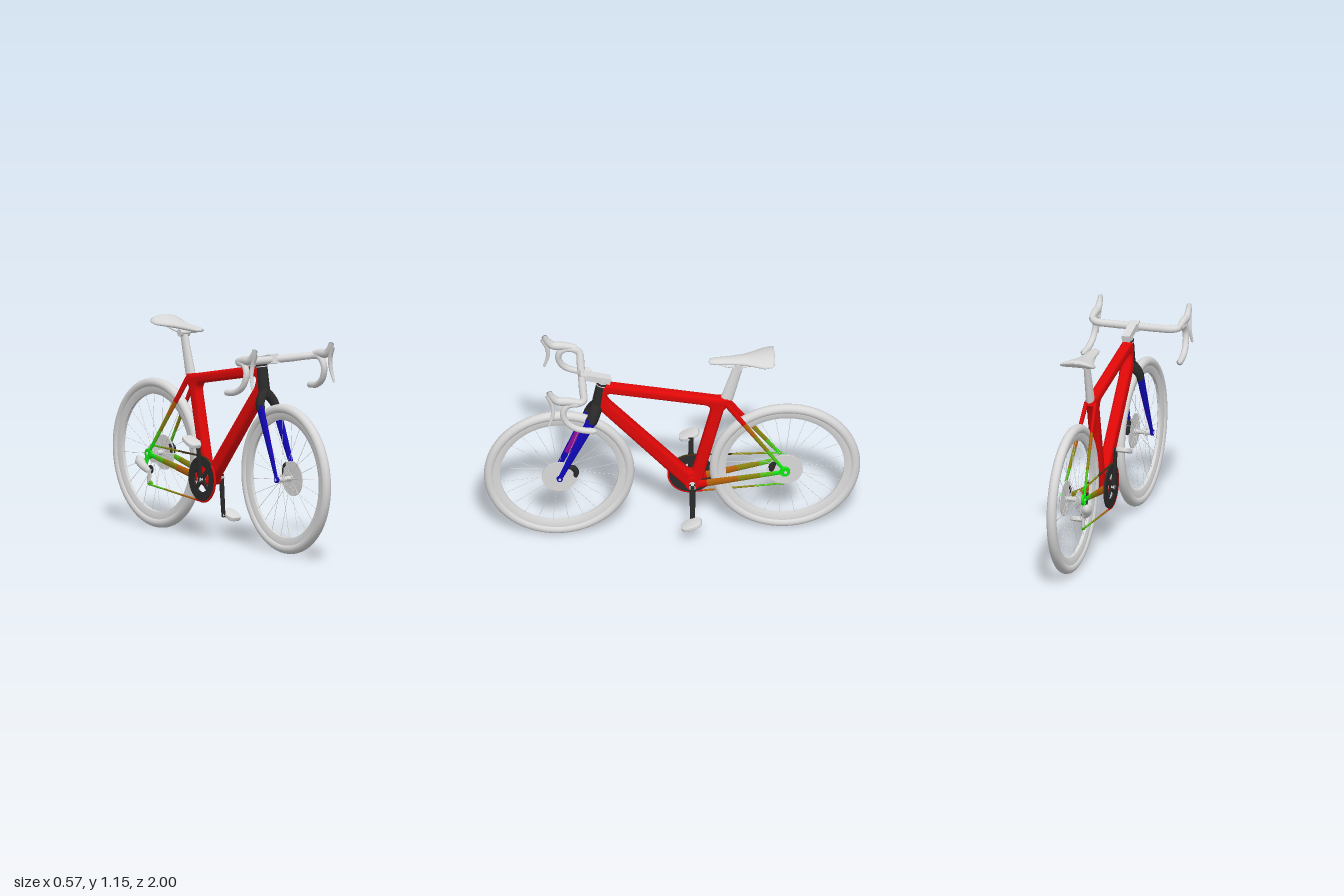
import * as THREE from 'three';
import { mergeGeometries, toCreasedNormals } from 'three/addons/utils/BufferGeometryUtils.js';

const mat = (name, color) => Object.assign(new THREE.MeshStandardMaterial({ color }), { name });
const V = (x, y, z) => new THREE.Vector3(x, y, z);
const UP = V(0, 1, 0);

export function createModel() {
  const grey = mat('light grey', 0xd8d8d8), black = mat('black', 0x2a2a2a), red = mat('red', 0xe00808);
  const blue = mat('blue', 0x1008b8), purple = mat('purple', 0x8c0c98), orange = mat('orange', 0xb4620a);
  const olive = mat('olive', 0x8a8410), leaf = mat('leaf green', 0x52c018), lime = mat('lime', 0x12f012);
  const brown = mat('dark brown', 0x40301a);
  const bike = new THREE.Group();
  bike.name = 'bicycle';

  const add = (name, geo, m, parent = bike) => {
    const mesh = new THREE.Mesh(geo, m);
    mesh.name = name;
    parent.add(mesh);
    return mesh;
  };
  // tapered straight bar from a to b, narrowed across x by sx
  const barGeo = (a, b, ra, rb, sx = 1, n = 16) => {
    const d = b.clone().sub(a);
    const g = new THREE.CylinderGeometry(rb, ra, d.length(), n);
    g.scale(sx, 1, 1);
    g.applyQuaternion(new THREE.Quaternion().setFromUnitVectors(UP, d.normalize()));
    return g.translate(...a.clone().lerp(b, 0.5).toArray());
  };
  const bar = (name, a, b, ra, rb, m, sx) => add(name, barGeo(a, b, ra, rb, sx), m);
  // bar split into coloured lengths: [end fraction, material]
  const bandedBar = (name, a, b, ra, rb, sx, bands) => {
    let t = 0;
    for (const [e, m] of bands) {
      bar(name, a.clone().lerp(b, t), a.clone().lerp(b, e), ra + (rb - ra) * t, ra + (rb - ra) * e, m, sx);
      t = e;
    }
  };
  // disc or axle lying along x
  const disc = (name, x, y, z, r, w, m, parent) =>
    add(name, new THREE.CylinderGeometry(r, r, w, 40).rotateZ(-Math.PI / 2).translate(x, y, z), m, parent);
  // curved tube with varying radius and closed ends
  const tube = (name, pts, radii, m, sx = 1) => {
    const curve = new THREE.CatmullRomCurve3(pts), n = 32, k = 12;
    const g = new THREE.TubeGeometry(curve, n, 1, k), p = g.attributes.position;
    for (let i = 0; i <= n; i++) {
      const c = curve.getPointAt(i / n), f = (i / n) * (radii.length - 1), j = Math.min(Math.floor(f), radii.length - 2);
      const r = i % n === 0 ? 0 : THREE.MathUtils.lerp(radii[j], radii[j + 1], f - j);
      for (let q = i * (k + 1); q < (i + 1) * (k + 1); q++)
        p.setXYZ(q, c.x + (p.getX(q) - c.x) * r * sx, c.y + (p.getY(q) - c.y) * r, c.z + (p.getZ(q) - c.z) * r);
    }
    return add(name, g, m);
  };
  const box = (name, w, h, d, x, y, z, rx, m) => {
    const b = add(name, new THREE.BoxGeometry(w, h, d), m);
    b.position.set(x, y, z);
    b.rotation.x = rx;
  };

  // wheels with spokes, hub and brake disc
  const AX = 0.403;
  for (const [name, z] of [['frontWheel', 0.6], ['rearWheel', -0.6]]) {
    const w = new THREE.Group();
    w.name = name;
    w.position.set(0, AX, z);
    bike.add(w);
    add('tyre', new THREE.TorusGeometry(0.374, 0.026, 16, 80).rotateY(Math.PI / 2), grey, w);
    const rim = [[0.36, 0.016], [0.335, 0.016], [0.315, 0.008], [0.315, -0.008], [0.335, -0.016], [0.36, -0.016]];
    const rimGeo = new THREE.LatheGeometry(rim.map(([r, h]) => new THREE.Vector2(r, h)), 80).rotateZ(Math.PI / 2);
    add('rim', toCreasedNormals(rimGeo, 0.5), grey, w);
    const spokes = [];
    for (let i = 0; i < 24; i++) {
      const a = 0.1 + (i / 24) * Math.PI * 2, s = i % 2 ? 1 : -1, c = Math.cos(a), d = Math.sin(a);
      spokes.push(barGeo(V(s * 0.028, d * 0.018, c * 0.018), V(0, d * 0.32, c * 0.32), 0.0011, 0.0011, 1, 6));
    }
    add('spokes', mergeGeometries(spokes), grey, w);
    disc('hub', 0, 0, 0, 0.014, 0.1, grey, w);
    for (const s of [-1, 1]) disc('hubFlange', s * 0.028, 0, 0, 0.022, 0.006, grey, w);
    disc('brakeDisc', 0.04, 0, 0, 0.094, 0.005, grey, w);
    disc('axle', 0, 0, 0, 0.008, 0.142, grey, w);
  }

  // main frame: one rounded plate with a triangular opening
  const outline = [[0.375, 0.99], [-0.25, 0.87], [-0.3, 0.868], [-0.31, 0.83], [-0.275, 0.79], [-0.235, 0.63],
    [-0.168, 0.36], [-0.15, 0.3], [-0.105, 0.285], [-0.06, 0.305], [0.375, 0.805], [0.395, 0.84], [0.383, 0.98]];
  const frameShape = new THREE.Shape(outline.map(([z, y]) => new THREE.Vector2(z, y)));
  const hole = new THREE.Path();
  hole.moveTo(0.325, 0.922);
  hole.lineTo(-0.17, 0.828);
  hole.quadraticCurveTo(-0.215, 0.818, -0.2, 0.765);
  hole.lineTo(-0.115, 0.42);
  hole.quadraticCurveTo(-0.105, 0.375, -0.08, 0.405);
  hole.lineTo(0.33, 0.865);
  hole.quadraticCurveTo(0.365, 0.925, 0.325, 0.922);
  frameShape.holes.push(hole);
  const frame = new THREE.ExtrudeGeometry(frameShape, {
    depth: 0.02, bevelThickness: 0.019, bevelSize: 0.018, bevelOffset: -0.018, bevelSegments: 4, curveSegments: 8 });
  add('frame', toCreasedNormals(frame.translate(0, 0, -0.01).rotateY(-Math.PI / 2), 0.6), red);
  disc('bottomBracket', 0, 0.325, -0.105, 0.037, 0.09, red);

  // steering column and stem
  bar('headTube', V(0, 0.82, 0.402), V(0, 0.99, 0.371), 0.032, 0.03, black);
  bar('headsetRing', V(0, 0.976, 0.374), V(0, 0.981, 0.373), 0.0315, 0.0315, grey);
  bar('spacer', V(0, 0.985, 0.371), V(0, 1.01, 0.366), 0.026, 0.026, grey);
  box('stem', 0.044, 0.036, 0.15, 0, 1.022, 0.4, -0.24, grey);
  box('stemClamp', 0.056, 0.05, 0.036, 0, 1.032, 0.475, -0.24, grey);

  for (const s of [-1, 1]) {
    const P = (x, y, z) => V(s * x, y, z);
    // fork
    tube('forkCrown', [P(0, 0.85, 0.397), P(0.024, 0.825, 0.407), P(0.045, 0.79, 0.421), P(0.049, 0.755, 0.437)],
      [0.032, 0.033, 0.032, 0.033], black, 0.55);
    const top = P(0.049, 0.775, 0.428), tip = P(0.06, 0.4, 0.6);
    bar('forkBlade', top, tip, 0.031, 0.013, blue, 0.5);
    if (s < 0) {
      const a = top.clone().lerp(tip, 0.18), b = top.clone().lerp(tip, 0.75);
      bar('forkBladeInset', a.setX(a.x + 0.004), b.setX(b.x + 0.004), 0.024, 0.014, purple, 0.5);
    }
    disc('forkTip', s * 0.062, AX, 0.6, 0.016, 0.014, blue);

    // rear stays and dropouts
    bandedBar('seatStay', P(0.024, 0.84, -0.285), P(0.06, 0.42, -0.588), 0.016, 0.009, 0.65,
      [[0.32, red], [0.5, orange], [0.72, olive], [0.88, leaf], [1, lime]]);
    bandedBar('chainStay', P(0.034, 0.318, -0.13), P(0.06, 0.4, -0.585), 0.024, 0.012, 0.45,
      [[0.12, red], [0.48, orange], [0.74, olive], [0.89, leaf], [1, lime]]);
    disc('dropout', s * 0.06, AX, -0.597, 0.028, 0.014, lime);

    // crank arms and pedals
    const py = 0.325 - s * 0.205;
    bar('crankArm', P(0.068, 0.325 + s * 0.015, -0.105), P(0.083, py - s * 0.01, -0.105), 0.017, 0.013, black, 0.7);
    disc('crankBolt', s * 0.062, 0.325, -0.105, 0.017, 0.032, grey);
    disc('pedalAxle', s * 0.095, py, -0.1, 0.008, 0.04, grey);
    const pedalShape = new THREE.Shape();
    pedalShape.moveTo(-0.016, -0.05);
    pedalShape.lineTo(0.016, -0.05);
    pedalShape.bezierCurveTo(0.042, -0.048, 0.042, 0.048, 0.016, 0.05);
    pedalShape.lineTo(-0.016, 0.05);
    pedalShape.bezierCurveTo(-0.042, 0.048, -0.042, -0.048, -0.016, -0.05);
    const pedal = add('pedal', toCreasedNormals(new THREE.ExtrudeGeometry(pedalShape, {
      depth: 0.008, bevelThickness: 0.008, bevelSize: 0.006, bevelSegments: 3, curveSegments: 8,
    }).translate(0, 0, -0.004).rotateX(-Math.PI / 2), 0.7), grey);
    pedal.position.set(s * 0.127, py, -0.098);
    pedal.rotation.x = 0.38;

    // handlebar, hoods and levers
    tube('handlebar', [P(0, 1.03, 0.48), P(0.12, 1.03, 0.48), P(0.215, 1.032, 0.483), P(0.243, 1.035, 0.515),
      P(0.246, 1.03, 0.565), P(0.25, 0.985, 0.592), P(0.256, 0.92, 0.57), P(0.262, 0.88, 0.51), P(0.269, 0.867, 0.412)],
    [0.02, 0.021, 0.02, 0.018, 0.017, 0.017, 0.017], grey);
    tube('brakeHood', [P(0.245, 1.04, 0.49), P(0.246, 1.053, 0.56), P(0.247, 1.062, 0.625), P(0.247, 1.095, 0.655),
      P(0.246, 1.125, 0.668)], [0.016, 0.022, 0.025, 0.021, 0.015], grey, 0.8);
    tube('brakeLever', [P(0.248, 1.1, 0.68), P(0.25, 1.04, 0.65), P(0.256, 0.98, 0.647), P(0.264, 0.905, 0.668)],
      [0.01, 0.013, 0.01, 0.006], grey);

    // saddle rails
    tube('saddleRail', [P(0.012, 1.105, -0.23), P(0.022, 1.082, -0.3), P(0.024, 1.085, -0.41), P(0.04, 1.115, -0.5)],
      [0.005, 0.005], grey);
  }

  // seat post and saddle
  bar('seatPost', V(0, 0.86, -0.292), V(0, 1.065, -0.352), 0.034, 0.026, grey, 0.65);
  disc('seatClamp', 0, 1.076, -0.355, 0.02, 0.06, grey);
  // saddle cross-sections: z, half width, top height, thickness
  const sections = [[-0.195, 0.004, 1.11, 0.006], [-0.2, 0.022, 1.117, 0.02], [-0.23, 0.029, 1.122, 0.03],
    [-0.31, 0.034, 1.126, 0.034], [-0.38, 0.045, 1.131, 0.036], [-0.44, 0.07, 1.139, 0.04],
    [-0.49, 0.092, 1.148, 0.044], [-0.53, 0.095, 1.155, 0.04], [-0.543, 0.084, 1.153, 0.022], [-0.546, 0.01, 1.145, 0.004]];
  const pos = [], idx = [], N = 20;
  sections.forEach(([z, w, y, h], i) => {
    for (let j = 0; j < N; j++) {
      const a = (j / N) * Math.PI * 2, x = w * Math.cos(a);
      pos.push(x, y - h / 2 + (h / 2) * Math.sin(a) - 1.6 * x * x, z);
      const p = i * N + j, q = i * N + (j + 1) % N;
      if (i) idx.push(p - N, p, q - N, q - N, p, q);
    }
  });
  const saddle = new THREE.BufferGeometry();
  saddle.setAttribute('position', new THREE.Float32BufferAttribute(pos, 3));
  saddle.setIndex(idx);
  saddle.computeVertexNormals();
  add('saddle', saddle, grey);

  // chainring with spider arms
  const cx = -0.056, cy = 0.325, cz = -0.105;
  const ring = new THREE.Shape().absarc(0, 0, 0.119, 0, Math.PI * 2);
  ring.holes.push(new THREE.Path().absarc(0, 0, 0.07, 0, Math.PI * 2));
  add('chainring', new THREE.ExtrudeGeometry(ring, { depth: 0.01, bevelEnabled: false, curveSegments: 32 })
    .rotateY(-Math.PI / 2).translate(cx + 0.005, cy, cz), black);
  for (let i = 0; i < 4; i++) {
    const a = (i + 0.5) * Math.PI / 2;
    bar('chainringArm', V(cx, cy, cz), V(cx, cy + 0.08 * Math.sin(a), cz + 0.08 * Math.cos(a)), 0.018, 0.012, black, 0.4);
  }

  // chain
  const arc = (from, to) => Array.from({ length: 9 }, (_, i) => {
    const a = THREE.MathUtils.degToRad(from + (to - from) * i / 8);
    return V(cx, cy + 0.121 * Math.sin(a), cz + 0.121 * Math.cos(a));
  });
  tube('chainOnRingTop', arc(95, 45), [0.005, 0.005], brown);
  tube('chainOnRingFront', arc(45, -100), [0.006, 0.006], red);
  bandedBar('chainTop', V(cx, 0.447, -0.105), V(-0.046, 0.45, -0.59), 0.005, 0.005, 1,
    [[0.45, brown], [0.8, olive], [1, leaf]]);
  bandedBar('chainBottom', V(cx, 0.205, -0.11), V(-0.056, 0.238, -0.585), 0.005, 0.005, 1,
    [[0.12, red], [0.4, orange], [0.72, olive], [1, leaf]]);

  // sprockets and rear gear changer
  for (let i = 0; i < 5; i++) disc('sprocket', -0.03 - i * 0.005, AX, -0.6, 0.05 - i * 0.006, 0.003, grey);
  bar('gearHanger', V(-0.062, 0.4, -0.6), V(-0.068, 0.345, -0.615), 0.012, 0.012, lime, 0.6);
  tube('gearChangerBody', [V(-0.07, 0.345, -0.62), V(-0.092, 0.368, -0.64), V(-0.085, 0.34, -0.615), V(-0.062, 0.31, -0.592)],
    [0.02, 0.026, 0.022, 0.016], grey);
  bar('gearChangerCage', V(-0.058, 0.325, -0.588), V(-0.058, 0.25, -0.598), 0.018, 0.014, grey, 0.5);
  disc('upperPulley', -0.056, 0.32, -0.585, 0.022, 0.008, black);
  disc('lowerPulley', -0.056, 0.246, -0.588, 0.014, 0.014, leaf);

  // brake calipers
  tube('frontCaliper', [V(0.048, 0.47, 0.56), V(0.05, 0.465, 0.528), V(0.05, 0.44, 0.512), V(0.048, 0.405, 0.515)],
    [0.008, 0.016, 0.016, 0.01], black);
  tube('rearCaliper', [V(0.046, 0.455, -0.545), V(0.048, 0.435, -0.53), V(0.046, 0.405, -0.525)],
    [0.012, 0.018, 0.012], black);
  return bike;
}
